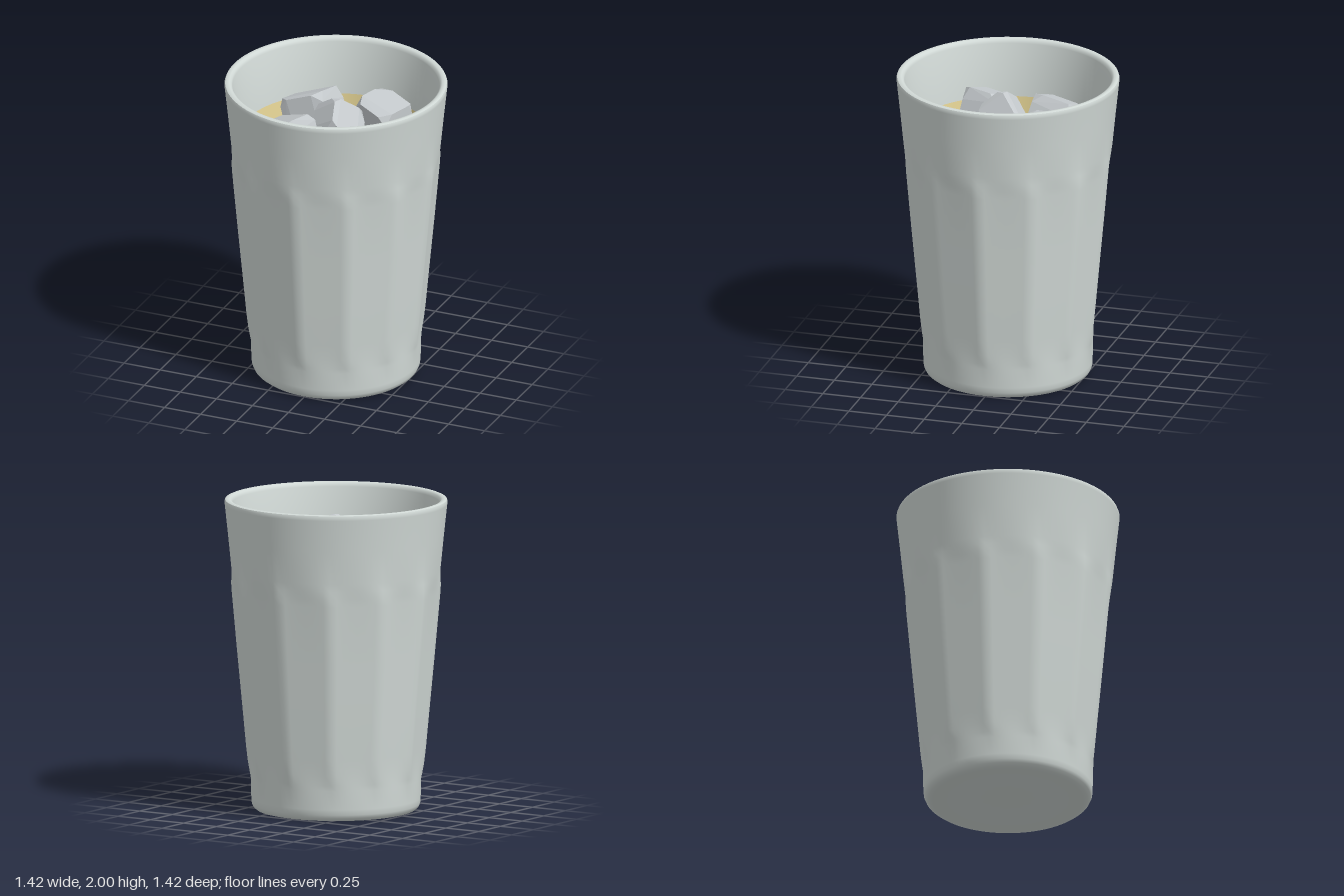
import * as THREE from 'three';
import { mergeVertices, toCreasedNormals } from 'three/addons/utils/BufferGeometryUtils.js';
import { ConvexGeometry } from 'three/addons/geometries/ConvexGeometry.js';

const SIDES = 12;   // number of flat panels around the tumbler
const SEGMENTS = 96;

// Lathe whose rows [radius, y, blend] can be pressed towards a polygon
function panelledLathe(rows, crease) {
  const geo = new THREE.LatheGeometry(rows.map(([r, y]) => new THREE.Vector2(r, y)), SEGMENTS);
  const pos = geo.attributes.position;
  const step = (Math.PI * 2) / SIDES;
  for (let i = 0; i < pos.count; i++) {
    const blend = rows[i % rows.length][2] || 0;
    const angle = Math.floor(i / rows.length) / SEGMENTS * Math.PI * 2;
    const fromMiddle = (angle % step) - step / 2;
    const polygon = Math.cos(step / 2) / Math.cos(fromMiddle);
    const k = 1 + (polygon - 1) * blend;
    pos.setXYZ(i, pos.getX(i) * k, pos.getY(i), pos.getZ(i) * k);
  }
  geo.deleteAttribute('uv');
  geo.deleteAttribute('normal');
  return toCreasedNormals(mergeVertices(geo, 1e-4), crease);
}

// Small seeded generator for the irregular ice
function seeded(seed) {
  let s = seed;
  return () => (s = (s * 16807) % 2147483647) / 2147483647;
}

// Box with every corner cut off by a different amount
function iceGeometry([w, h, d], seed) {
  const rand = seeded(seed);
  const cut = () => 0.025 + rand() * 0.065;
  const points = [];
  for (const x of [-1, 1]) for (const y of [-1, 1]) for (const z of [-1, 1]) {
    const corner = new THREE.Vector3(x * w / 2, y * h / 2, z * d / 2);
    points.push(
      corner.clone().add(new THREE.Vector3(-x * cut(), -y * 0.012, 0)),
      corner.clone().add(new THREE.Vector3(0, -y * cut(), -z * 0.012)),
      corner.clone().add(new THREE.Vector3(-x * 0.012, 0, -z * cut())));
  }
  return new ConvexGeometry(points);
}

export function createModel() {
  const group = new THREE.Group();
  const glass = new THREE.MeshStandardMaterial({ color: 0xd2dad7 });
  const drink = new THREE.MeshStandardMaterial({ color: 0xe6d596, side: THREE.DoubleSide });
  const ice = new THREE.MeshStandardMaterial({ color: 0xc6cbce });
  glass.name = 'glass';
  drink.name = 'drink';
  ice.name = 'ice';

  const add = (name, geo, mat) => {
    const mesh = new THREE.Mesh(geo, mat);
    mesh.name = name;
    group.add(mesh);
    return mesh;
  };

  // Tumbler: underside, foot band, panelled body, rim, inner wall and floor
  add('tumbler', panelledLathe([
    [0, 0.02], [0.32, 0.02, 1], [0.36, 0.008, 0.6], [0.4, 0.003], [0.48, 0],
    [0.505, 0.006], [0.525, 0.022], [0.535, 0.045], [0.538, 0.08], [0.54, 0.2],
    [0.548, 0.235, 0.35], [0.56, 0.3, 0.9], [0.572, 0.4, 1], [0.595, 0.65, 1],
    [0.63, 1.02, 1], [0.664, 1.4, 1], [0.667, 1.45, 0.8], [0.665, 1.5, 0.35],
    [0.664, 1.55, 0], [0.685, 1.76], [0.707, 1.965],
    [0.709, 1.982], [0.704, 1.995], [0.692, 2], [0.675, 1.998], [0.663, 1.99],
    [0.657, 1.97], [0.616, 1.64], [0.49, 0.24], [0.46, 0.16], [0, 0.16],
  ], 0.75), glass);

  // Drink lining the inside, open at the top
  add('drink', panelledLathe([
    [0.606, 1.63], [0.54, 0.93], [0.475, 0.26], [0.467, 0.215], [0.45, 0.19], [0, 0.18],
  ], 0.75), drink);

  // Ice cubes: position, size, rotation
  [
    [[-0.25, 1.63, -0.23], [0.31, 0.28, 0.29], [-0.2, -0.1, 0.35]],
    [[0.22, 1.68, -0.25], [0.29, 0.26, 0.25], [0.15, -0.45, -0.12]],
    [[0.24, 1.54, 0.22], [0.25, 0.26, 0.3], [0.3, 0.45, -0.1]],
    [[-0.215, 1.67, 0.215], [0.25, 0.24, 0.25], [-0.1, -0.25, 0.3]],
    [[0.025, 1.72, 0.01], [0.22, 0.26, 0.22], [0.7, 0.2, 0.6]],
  ].forEach(([position, size, rotation], i) => {
    const cube = add('iceCube' + (i + 1), iceGeometry(size, 911 + i * 7717), ice);
    cube.position.set(...position);
    cube.rotation.set(...rotation);
  });

  return group;
}
